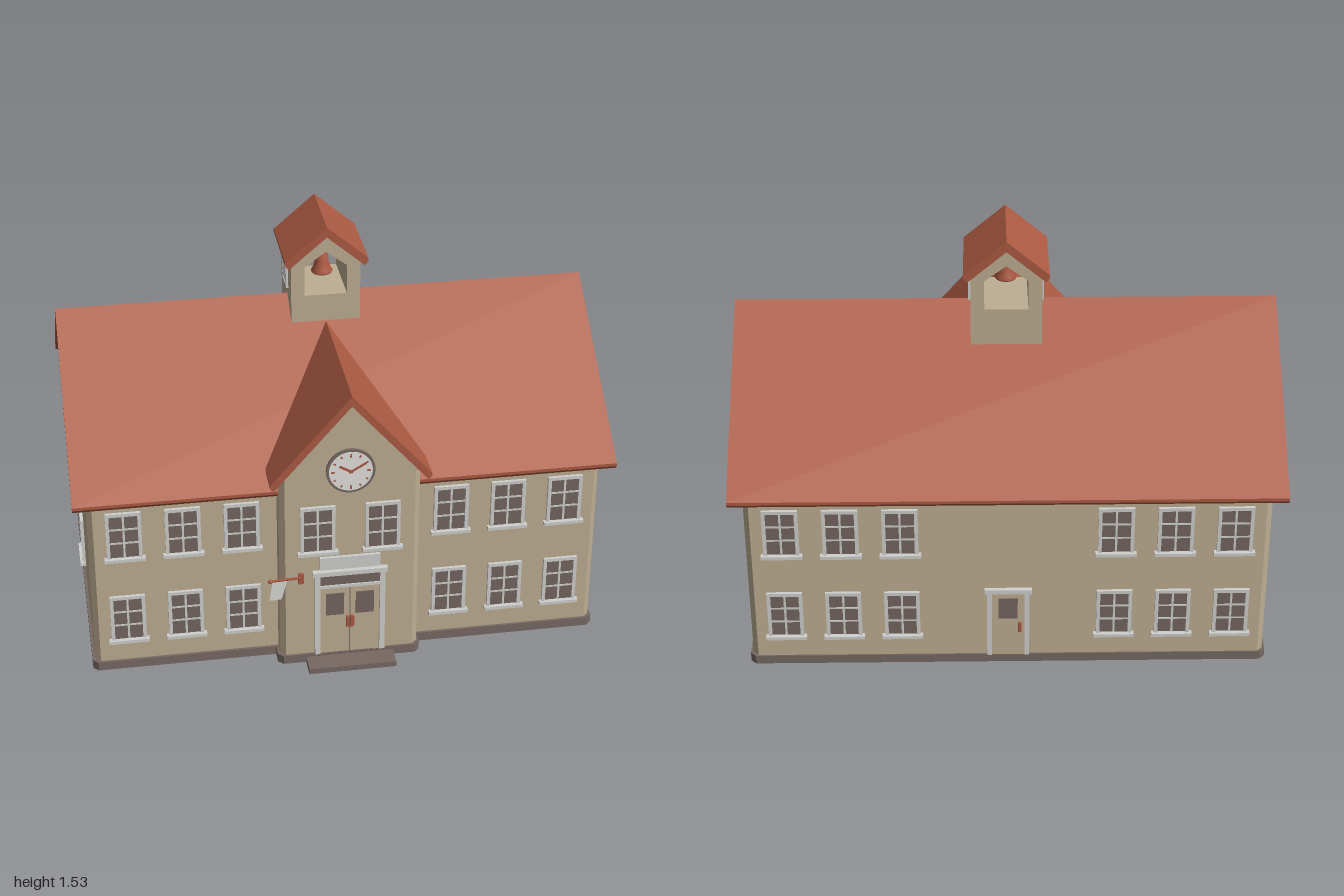
import * as THREE from 'three';

const mat = (name, color, side = THREE.FrontSide) => {
  const m = new THREE.MeshStandardMaterial({ color, side });
  m.name = name;
  return m;
};

export function createModel() {
  const wall = mat('stone wall', 0xbeae92), roof = mat('terracotta', 0xac5a42);
  const trim = mat('pale trim', 0xd0d0ce), dark = mat('dark base', 0x776963);
  const glass = mat('window glass', 0x74665f), face = mat('clock white', 0xe4e2de);
  const cloth = mat('flag cloth', 0xcfcfcd, THREE.DoubleSide);

  const root = new THREE.Group();
  root.name = 'schoolhouse';

  const add = (parent, name, geo, material, x = 0, y = 0, z = 0) => {
    const m = new THREE.Mesh(geo, material);
    m.name = name;
    m.position.set(x, y, z);
    parent.add(m);
    return m;
  };
  const box = (parent, name, material, w, h, d, x, y, z) =>
    add(parent, name, new THREE.BoxGeometry(w, h, d), material, x, y, z);
  const group = (name, x, y, z, ry = 0, parent = root) => {
    const g = new THREE.Group();
    g.name = name;
    g.position.set(x, y, z);
    g.rotation.y = ry;
    parent.add(g);
    return g;
  };
  const poly = pts => new THREE.Shape(pts.map(p => new THREE.Vector2(p[0], p[1])));
  const extrude = (shape, depth) =>
    new THREE.ExtrudeGeometry(shape, { depth, bevelEnabled: false }).translate(0, 0, -depth / 2);

  // Upright block with chamfered vertical corners
  const block = (name, material, hw, z0, z1, y0, y1, c = 0.02) => {
    const s = poly([[-hw + c, -z1], [hw - c, -z1], [hw, -z1 + c], [hw, -z0 - c],
      [hw - c, -z0], [-hw + c, -z0], [-hw, -z0 - c], [-hw, -z1 + c]]);
    const g = new THREE.ExtrudeGeometry(s, { depth: y1 - y0, bevelEnabled: false });
    return add(root, name, g.rotateX(-Math.PI / 2), material, 0, y0, 0);
  };
  // Pitched roof slab: half width, eave and peak heights, vertical thickness
  const roofGeo = (hw, eave, peak, t, length) => {
    const cut = hw - 0.012, low = peak - t - (peak - eave) * cut / hw;
    return extrude(poly([[0, peak], [-hw, eave], [-hw, eave - 0.012], [-cut, low],
      [0, peak - t], [cut, low], [hw, eave - 0.012], [hw, eave]]), length);
  };
  const gableGeo = (hw, y0, peak, length) =>
    extrude(poly([[-hw, y0], [hw, y0], [0, peak]]), length);

  // Main hall
  const midZ = -0.0875;
  block('plinth', dark, 0.96, -0.69, 0.52, 0, 0.035);
  block('hallWalls', wall, 0.95, -0.685, 0.51, 0.035, 0.745);
  add(root, 'hallGables', gableGeo(0.5975, 0.743, 1.185, 1.9).rotateY(Math.PI / 2), wall, 0, 0, midZ);
  add(root, 'hallRoof', roofGeo(0.645, 0.745, 1.218, 0.035, 2).rotateY(Math.PI / 2), roof, 0, 0, midZ);

  // Entrance bay
  block('bayPlinth', dark, 0.27, 0.3, 0.588, 0, 0.035);
  block('bayWalls', wall, 0.26, 0.3, 0.58, 0.035, 0.8);
  add(root, 'bayGable', gableGeo(0.26, 0.8, 1.1, 0.3), wall, 0, 0, 0.43);
  add(root, 'bayRoof', roofGeo(0.295, 0.8, 1.14, 0.04, 0.655), roof, 0, 0, 0.28);
  box(root, 'doorStep', dark, 0.33, 0.022, 0.1, 0, 0.011, 0.617);

  // Sash window, origin at its bottom centre, facing +z
  const addWindow = (x, y, z, ry = 0) => {
    const g = group('window', x, y, z, ry), w = 0.13, h = 0.2, b = 0.013;
    box(g, 'glass', glass, w - b, h - b, 0.006, 0, h / 2, 0.002);
    for (const s of [-1, 1]) box(g, 'jamb', trim, b, h, 0.024, s * (w - b) / 2, h / 2, 0);
    box(g, 'head', trim, w, b, 0.024, 0, h - b / 2, 0);
    box(g, 'sill', trim, 0.15, 0.013, 0.044, 0, 0.004, 0);
    box(g, 'mullion', trim, 0.008, h, 0.014, 0, h / 2, 0);
    for (const f of [0.36, 0.65]) box(g, 'glazingBar', trim, w, 0.007, 0.014, 0, h * f, 0);
  };
  for (const y of [0.122, 0.482]) {
    for (const s of [-1, 1]) {
      for (const x of [0.39, 0.605, 0.82]) {
        addWindow(s * x, y, 0.51);
        addWindow(s * x, y, -0.685, Math.PI);
      }
      addWindow(s * 0.95, y, midZ, s * Math.PI / 2);
    }
  }
  for (const s of [-1, 1]) addWindow(s * 0.12, 0.482, 0.58);

  // Front double door
  const door = group('frontDoor', 0, 0, 0.58);
  for (const s of [-1, 1]) {
    box(door, 'doorPost', trim, 0.02, 0.36, 0.03, s * 0.122, 0.215, 0);
    box(door, 'doorLeaf', wall, 0.109, 0.295, 0.01, s * 0.0565, 0.18, 0.003);
    box(door, 'doorPane', glass, 0.068, 0.095, 0.006, s * 0.056, 0.253, 0.008);
    box(door, 'doorHandle', roof, 0.012, 0.045, 0.014, s * 0.009, 0.175, 0.013);
  }
  box(door, 'doorGap', dark, 0.004, 0.295, 0.006, 0, 0.18, 0.004);
  box(door, 'transomBar', trim, 0.23, 0.012, 0.024, 0, 0.332, 0);
  box(door, 'transomGlass', glass, 0.224, 0.05, 0.008, 0, 0.362, 0.003);
  box(door, 'lintel', trim, 0.28, 0.018, 0.044, 0, 0.395, 0);
  box(door, 'signBoard', trim, 0.225, 0.052, 0.024, 0, 0.435, 0);

  // Back single door
  const back = group('backDoor', 0, 0, -0.685, Math.PI);
  for (const s of [-1, 1]) box(back, 'doorPost', trim, 0.018, 0.285, 0.024, s * 0.069, 0.178, 0);
  box(back, 'lintel', trim, 0.175, 0.018, 0.034, 0, 0.324, 0);
  box(back, 'doorLeaf', wall, 0.12, 0.28, 0.01, 0, 0.175, 0.002);
  box(back, 'doorPane', glass, 0.07, 0.09, 0.006, 0, 0.245, 0.006);
  box(back, 'doorHandle', roof, 0.012, 0.04, 0.014, 0.043, 0.165, 0.012);

  // Clock on the bay gable
  const clock = group('clock', 0, 0.825, 0.58);
  const disc = (name, r, d, material) =>
    add(clock, name, new THREE.CylinderGeometry(r, r, d, 40).rotateX(Math.PI / 2), material);
  disc('clockRim', 0.09, 0.018, dark);
  disc('clockFace', 0.08, 0.022, face);
  const hand = (name, angle, r0, r1, w, z) => {
    const r = (r0 + r1) / 2;
    const m = box(clock, name, roof, w, r1 - r0, 0.004, Math.sin(angle) * r, Math.cos(angle) * r, z);
    m.rotation.z = -angle;
  };
  for (let i = 0; i < 12; i++) hand('hourMark', i * Math.PI / 6, i % 3 ? 0.064 : 0.058, 0.073, 0.006, 0.011);
  hand('hourHand', -Math.PI / 3, -0.008, 0.047, 0.009, 0.013);
  hand('minuteHand', Math.PI / 3, -0.008, 0.064, 0.007, 0.014);

  // Flag on a slanted pole
  const a = new THREE.Vector3(-0.18, 0.378, 0.58), b = new THREE.Vector3(-0.315, 0.473, 0.727);
  add(root, 'flagPole', new THREE.TubeGeometry(new THREE.LineCurve3(a, b), 1, 0.005, 8), roof);
  add(root, 'poleKnob', new THREE.SphereGeometry(0.008, 10, 8), roof, b.x, b.y, b.z);
  box(root, 'poleBracket', roof, 0.02, 0.042, 0.014, -0.183, 0.378, 0.585);
  const flag = new THREE.BufferGeometry();
  flag.setAttribute('position', new THREE.Float32BufferAttribute([
    -0.305, 0.463, 0.715, -0.32, 0.398, 0.738, -0.267, 0.35, 0.667, -0.24, 0.418, 0.643], 3));
  flag.setIndex([0, 1, 2, 0, 2, 3]);
  flag.computeVertexNormals();
  add(root, 'flag', flag, cloth);

  // Belfry with a pointed opening front to back
  const belfry = group('belfry', 0, 0, -0.1125);
  const tower = poly([[-0.13, 1.02], [0.13, 1.02], [0.13, 1.386], [0, 1.495], [-0.13, 1.386]]);
  tower.holes.push(poly([[-0.08, 1.25], [-0.08, 1.365], [0, 1.425], [0.08, 1.365], [0.08, 1.25]]));
  add(belfry, 'belfryWalls', extrude(tower, 0.255), wall);
  add(belfry, 'belfryRoof', roofGeo(0.155, 1.402, 1.535, 0.04, 0.31), roof);
  box(belfry, 'bellBeam', wall, 0.17, 0.014, 0.02, 0, 1.398, 0.03);
  const bellProfile = [[0, 1.392], [0.012, 1.392], [0.022, 1.378], [0.026, 1.345], [0.034, 1.318],
    [0.041, 1.305], [0.038, 1.3], [0, 1.308]].reverse().map(p => new THREE.Vector2(p[0], p[1]));
  add(belfry, 'bell', new THREE.LatheGeometry(bellProfile, 20), roof, 0, 0, 0.03);
  add(belfry, 'bellClapper', new THREE.SphereGeometry(0.01, 10, 8), roof, 0, 1.3, 0.03);

  // Louvred vents on both belfry sides
  for (const s of [-1, 1]) {
    const vent = group('louvreVent', s * 0.13, 1.312, 0, s * Math.PI / 2, belfry);
    for (const e of [-1, 1]) {
      box(vent, 'ventSide', trim, 0.012, 0.125, 0.018, e * 0.045, 0, 0);
      box(vent, 'ventRail', trim, 0.1, 0.012, 0.018, 0, e * 0.057, 0);
    }
    for (let i = 0; i < 4; i++) {
      const slat = box(vent, 'ventSlat', trim, 0.085, 0.015, 0.005, 0, -0.036 + i * 0.024, 0.004);
      slat.rotation.x = -0.4;
    }
  }
  return root;
}
